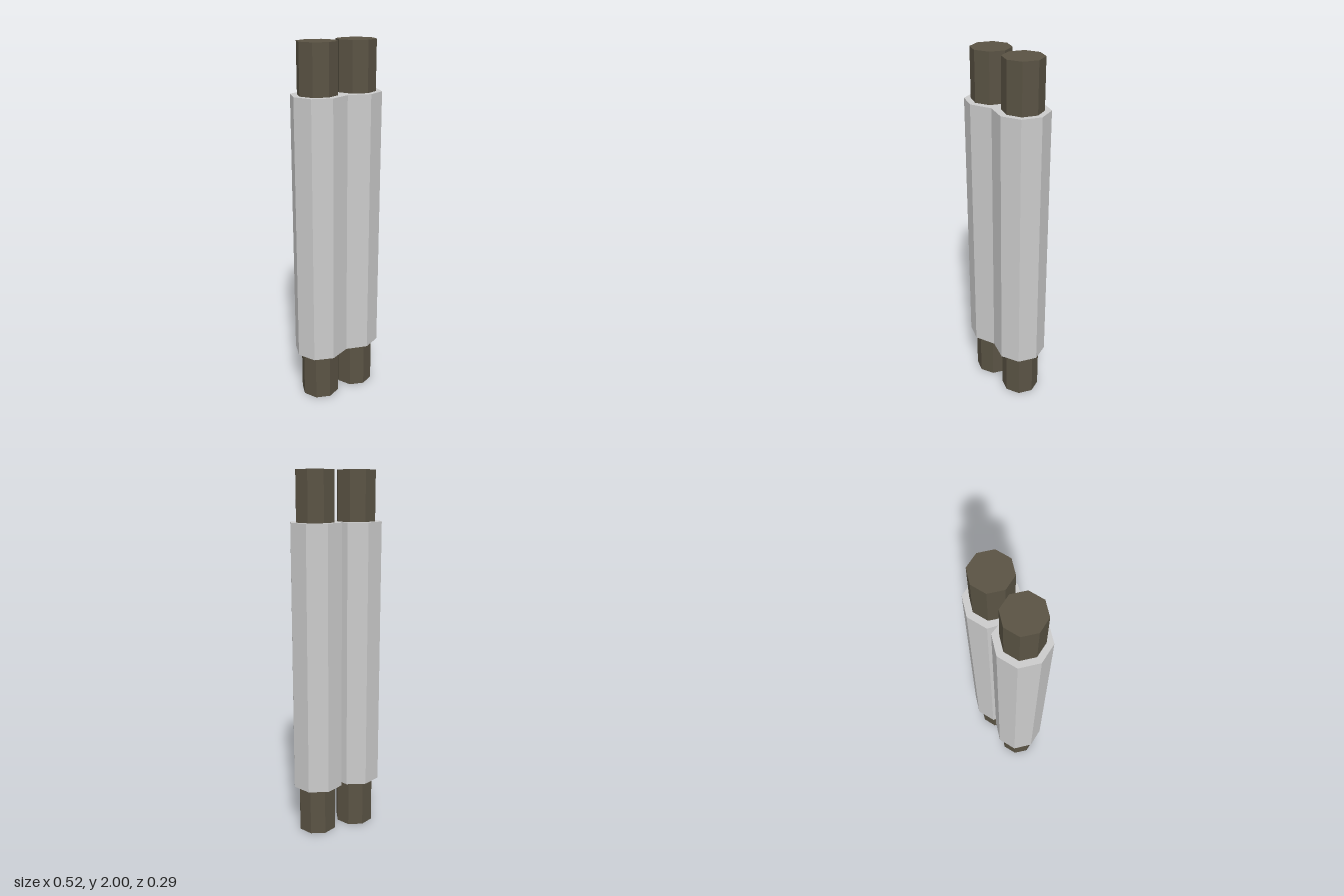
import * as THREE from 'three';

export function createModel() {
  const model = new THREE.Group();
  const sleeveMat = new THREE.MeshStandardMaterial({ color: 0xcccccc, flatShading: true });
  const rodMat = new THREE.MeshStandardMaterial({ color: 0x5a5344, flatShading: true });

  // Two full-height octagonal rods, side by side
  for (const [name, x] of [['leftRod', 0.121], ['rightRod', -0.118]]) {
    const rod = new THREE.Mesh(new THREE.CylinderGeometry(0.107, 0.107, 2, 8), rodMat);
    rod.name = name;
    rod.position.set(x, 1, 0);
    model.add(rod);
  }

  // Sleeve outline as (x, z): deep notch at the back, shallow valley at the front
  const half = [
    [0.016, -0.102], [0.117, -0.144], [0.219, -0.102], [0.26, 0],
    [0.219, 0.1], [0.117, 0.142],
  ];
  const mirrored = half.map(([x, z]) => [-x, z]).reverse();
  const outline = [[0, -0.052], ...half, [0, 0.1], ...mirrored];
  const shape = new THREE.Shape(outline.map(([x, z]) => new THREE.Vector2(x, -z)));

  // Sleeve joining the rods
  const geometry = new THREE.ExtrudeGeometry(shape, { depth: 1.465, bevelEnabled: false });
  geometry.rotateX(-Math.PI / 2);
  const sleeve = new THREE.Mesh(geometry, sleeveMat);
  sleeve.name = 'sleeve';
  sleeve.position.y = 0.27;
  model.add(sleeve);

  return model;
}
